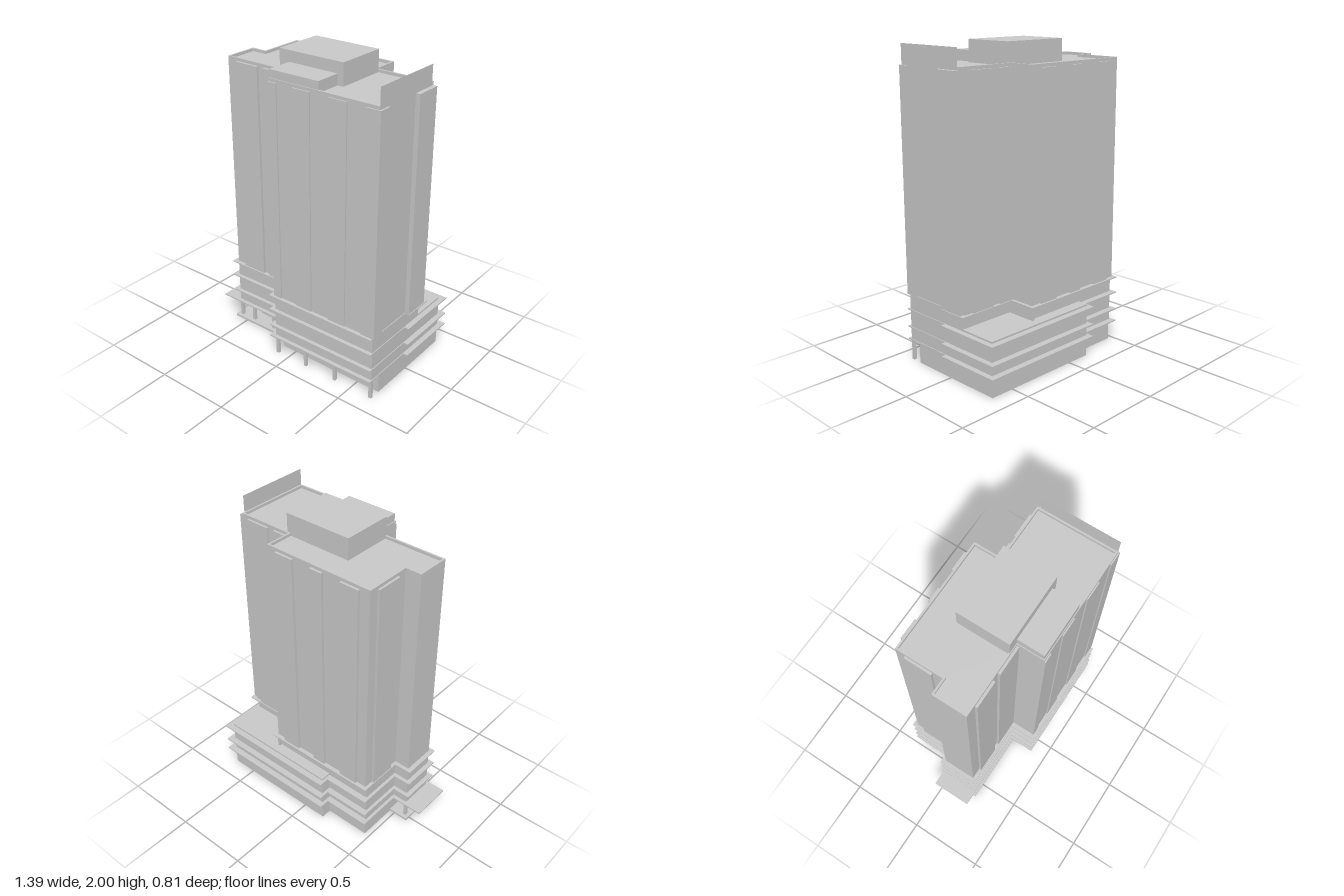
import * as THREE from 'three';

const mat = new THREE.MeshStandardMaterial({ color: 0xcccccc, side: THREE.DoubleSide, flatShading: true });

// Plan outlines as [x, z] corners
const frontEdge = [[0.66, 0.38], [-0.1, 0.38], [-0.1, 0.21], [-0.575, 0.21], [-0.575, -0.01], [-0.47, -0.01]];
const backSteps = [[-0.47, -0.3], [-0.16, -0.3], [-0.16, -0.37], [0.66, -0.37]];
const podiumPlan = [...frontEdge, ...backSteps];
const groundPlan = [[0.66, 0.3], [-0.1, 0.3], [-0.1, 0.12], [-0.465, 0.12], ...backSteps.map(([x, z]) => [x === -0.47 ? -0.465 : x, z])];
const neckPlan = [...frontEdge, [-0.47, -0.3], [0.28, -0.3], [0.28, -0.12], [0.66, -0.12]];
const towerPlan = [...frontEdge, [-0.47, -0.312], [0.28, -0.312], [0.28, -0.14], [0.66, -0.14]];
const rimHole = [[0.648, 0.368], [-0.088, 0.368], [-0.088, 0.198], [-0.563, 0.198], [-0.563, 0.002], [-0.458, 0.002],
  [-0.458, -0.3], [0.268, -0.3], [0.268, -0.128], [0.648, -0.128]];
const ledgeFront = [[0.665, 0.405], [-0.13, 0.405], [-0.13, 0.235], [-0.605, 0.235], [-0.605, -0.035], [-0.49, -0.035], [-0.49, -0.34]];
const ledgePlan = [...ledgeFront, [-0.18, -0.34], [-0.18, -0.41], [0.695, -0.41], [0.695, 0.04], [0.665, 0.04]];
const towerLedge = [...ledgeFront, [0.3, -0.34], [0.3, -0.16], [0.695, -0.16], [0.695, 0.04], [0.665, 0.04]];

const toVec = (pts) => pts.map(([x, z]) => new THREE.Vector2(x, -z));

export function createModel() {
  const model = new THREE.Group();
  model.name = 'towerBlock';

  const add = (geometry, name, parent = model) => {
    const mesh = new THREE.Mesh(geometry, mat);
    mesh.name = name;
    parent.add(mesh);
    return mesh;
  };
  const group = (name) => {
    const g = new THREE.Group();
    g.name = name;
    model.add(g);
    return g;
  };
  // Box given by its limits
  const box = (name, x0, x1, y0, y1, z0, z1, parent) => {
    const g = new THREE.BoxGeometry(x1 - x0, y1 - y0, z1 - z0);
    g.translate((x0 + x1) / 2, (y0 + y1) / 2, (z0 + z1) / 2);
    return add(g, name, parent);
  };
  // Plan outline raised from y0 to y1, with an optional opening
  const prism = (name, plan, y0, y1, hole, parent) => {
    const shape = new THREE.Shape(toVec(plan));
    if (hole) shape.holes.push(new THREE.Path(toVec(hole)));
    const g = new THREE.ExtrudeGeometry(shape, { depth: y1 - y0, bevelEnabled: false });
    g.rotateX(-Math.PI / 2).translate(0, y0, 0);
    return add(g, name, parent);
  };
  // Thin hollow walls around a plan
  const walls = (name, plan, y0, y1) => {
    const pos = [];
    plan.forEach(([x0, z0], i) => {
      const [x1, z1] = plan[(i + 1) % plan.length];
      pos.push(x0, y0, z0, x0, y1, z0, x1, y1, z1, x0, y0, z0, x1, y1, z1, x1, y0, z1);
    });
    const g = new THREE.BufferGeometry();
    g.setAttribute('position', new THREE.Float32BufferAttribute(pos, 3));
    g.computeVertexNormals();
    add(g, name);
  };

  // Podium, open underneath
  walls('groundFloorWalls', groundPlan, 0, 0.133);
  walls('podiumWalls', podiumPlan, 0.133, 0.35);
  walls('podiumUpperWalls', neckPlan, 0.35, 0.44);
  prism('terrace', [[-0.16, -0.3], [-0.16, -0.37], [0.66, -0.37], [0.66, -0.12], [0.28, -0.12], [0.28, -0.3]], 0.343, 0.35);
  box('terracePost', 0.265, 0.28, 0.35, 0.44, -0.32, -0.305);

  // Projecting ledges
  const ledges = group('ledges');
  for (const y of [0.135, 0.218, 0.335]) prism('ledge', ledgePlan, y - 0.004, y + 0.004, groundPlan, ledges);
  prism('towerLedge', towerLedge, 0.437, 0.444, null, ledges);
  box('entranceCanopy', -0.7, -0.6, 0.131, 0.139, -0.035, 0.235, ledges);

  // Entrance platform and ground-floor columns
  prism('entrancePlatform', [[-0.1, 0.235], [-0.6, 0.235], [-0.6, -0.035], [-0.465, -0.035], [-0.465, 0.12], [-0.1, 0.12]], 0, 0.014);
  const columns = group('columns');
  const column = (x, z) => box('column', x - 0.01, x + 0.01, 0, 0.133, z - 0.01, z + 0.01, columns);
  for (const x of [-0.09, 0.142, 0.374, 0.65]) column(x, 0.37);
  for (const x of [-0.567, -0.455, -0.28]) column(x, 0.2);
  column(-0.567, 0);

  // Tower shaft
  prism('tower', towerPlan, 0.44, 1.862);

  // Raised facade panels: [x0, x1, z0, z1]
  const panels = group('facadePanels');
  const panelPlans = [
    [-0.1, -0.04, 0.37, 0.388], [0.08, 0.2, 0.37, 0.388], [0.33, 0.455, 0.37, 0.388], [0.58, 0.674, 0.305, 0.388],
    [-0.5, -0.33, 0.2, 0.226], [-0.285, -0.1, 0.2, 0.226],
    [-0.4, -0.27, -0.328, -0.3], [-0.14, -0.05, -0.328, -0.3], [0.08, 0.21, -0.328, -0.3],
    [0.28, 0.39, -0.154, -0.13], [0.44, 0.605, -0.154, -0.13],
    [-0.485, -0.46, -0.25, -0.075], [0.65, 0.69, -0.13, 0.04],
  ];
  for (const [x0, x1, z0, z1] of panelPlans) box('panel', x0, x1, 0.444, 1.86, z0, z1, panels);

  // Roof rim, cap edge, plant rooms and side screen
  prism('roofRim', towerPlan, 1.862, 1.88, rimHole);
  box('plantRoom', -0.165, 0.295, 1.86, 2, -0.13, 0.205);
  box('lowerPlantRoom', -0.095, 0.255, 1.86, 1.93, 0.205, 0.375);
  const screen = new THREE.PlaneGeometry(0.5, 0.125);
  screen.rotateY(Math.PI / 2).translate(0.662, 1.9225, 0.13);
  add(screen, 'roofScreen');

  return model;
}
